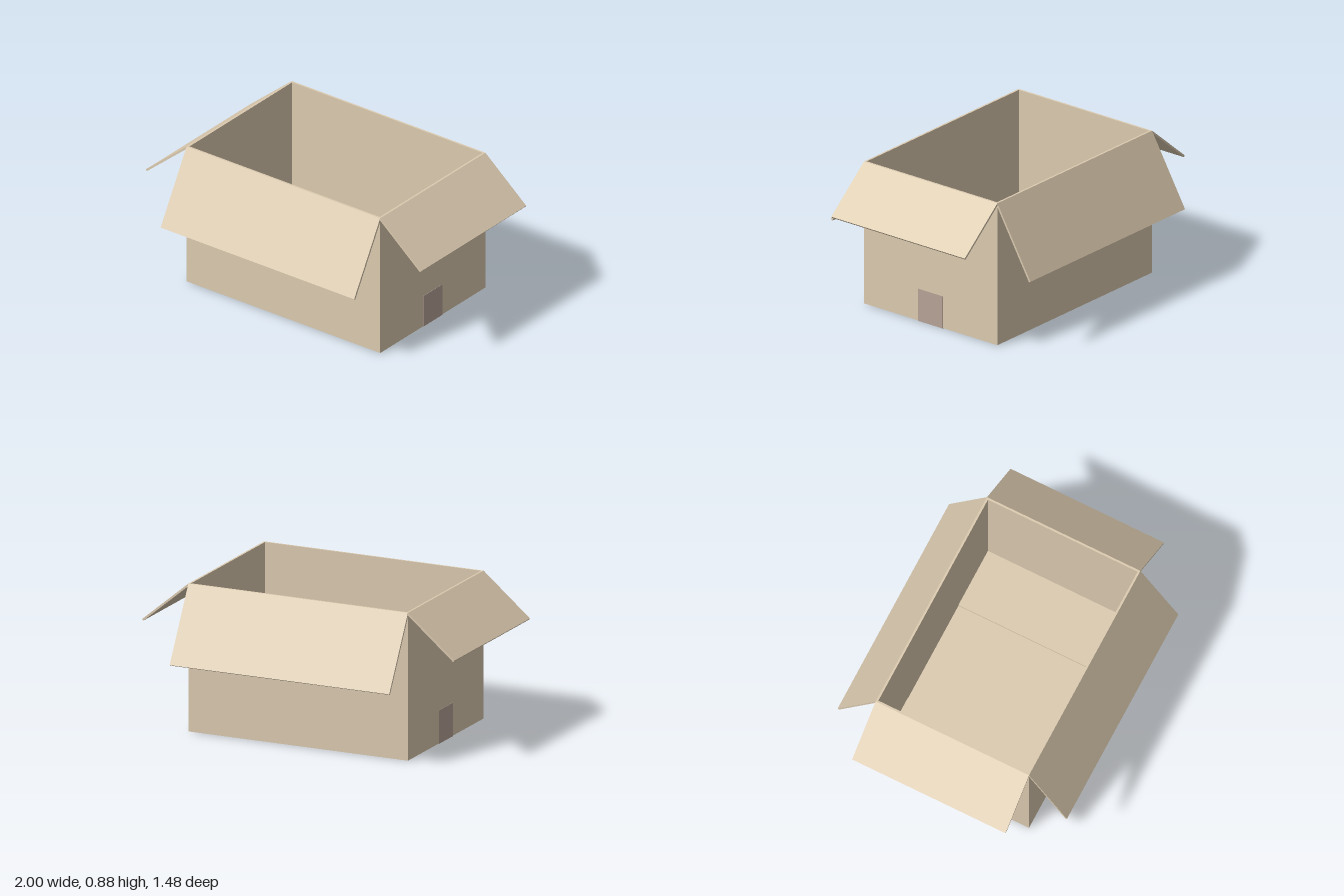
import * as THREE from 'three';

const X = 0.702, Z = 0.495, H = 0.885; // half width, half depth, height
const T = 0.012;                       // cardboard thickness
const TAPE = 0.002, TAPE_W = 0.182;
const END_FLAP = 0.387;

export function createModel() {
  const group = new THREE.Group();
  const cardboard = new THREE.MeshStandardMaterial({ color: 0xdccbb0 });
  cardboard.name = 'cardboard';
  const tape = new THREE.MeshStandardMaterial({ color: 0xb8a498 });
  tape.name = 'packingTape';

  const box = (name, material, size, pos, parent = group) => {
    const mesh = new THREE.Mesh(new THREE.BoxGeometry(...size), material);
    mesh.name = name;
    mesh.position.set(...pos);
    parent.add(mesh);
    return mesh;
  };

  // A flap hinged on the top rim, sloping down along local +x
  const flap = (name, hinge, turn, length, width, slope) => {
    const pivot = new THREE.Group();
    pivot.name = name;
    pivot.position.set(...hinge);
    pivot.rotation.set(0, turn, -slope, 'YXZ');
    box(name + 'Panel', cardboard, [length, T, width], [length / 2, -T / 2, 0], pivot);
    group.add(pivot);
  };

  const wallH = H - TAPE, wallY = TAPE + wallH / 2;
  for (const s of [1, -1]) {
    const side = s > 0 ? 'left' : 'right';
    const face = s > 0 ? 'front' : 'back';

    // Walls
    box(face + 'Wall', cardboard, [2 * X, wallH, T], [0, wallY, s * (Z - T / 2)]);
    box(side + 'Wall', cardboard, [T, wallH, 2 * (Z - T)], [s * (X - T / 2), wallY, 0]);

    // Open top flaps
    flap(face + 'TopFlap', [0, H, s * Z], -s * Math.PI / 2, 0.49, 2 * X, Math.PI / 3);
    flap(side + 'TopFlap', [s * X, H, 0], s > 0 ? 0 : Math.PI, END_FLAP, 2 * Z, Math.PI * 40 / 180);

    // Closed bottom: long outer flaps meet in the middle, short flaps lie on top
    box(face + 'BottomFlap', cardboard, [2 * (X - T), T, Z - T],
      [0, TAPE + T / 2, s * (Z - T) / 2]);
    const inner = X - T - 0.318;
    box(side + 'BottomFlap', cardboard, [inner, T, 2 * (Z - T)],
      [s * (0.318 + inner / 2), TAPE + T * 1.5, 0]);

    // Tape folded up the end wall
    box(side + 'TapeEnd', tape, [TAPE, 0.2, TAPE_W], [s * (X + TAPE / 2), 0.1, 0]);
  }

  // Tape along the bottom seam
  box('bottomTape', tape, [2 * X, TAPE, TAPE_W], [0, TAPE / 2, 0]);
  return group;
}
